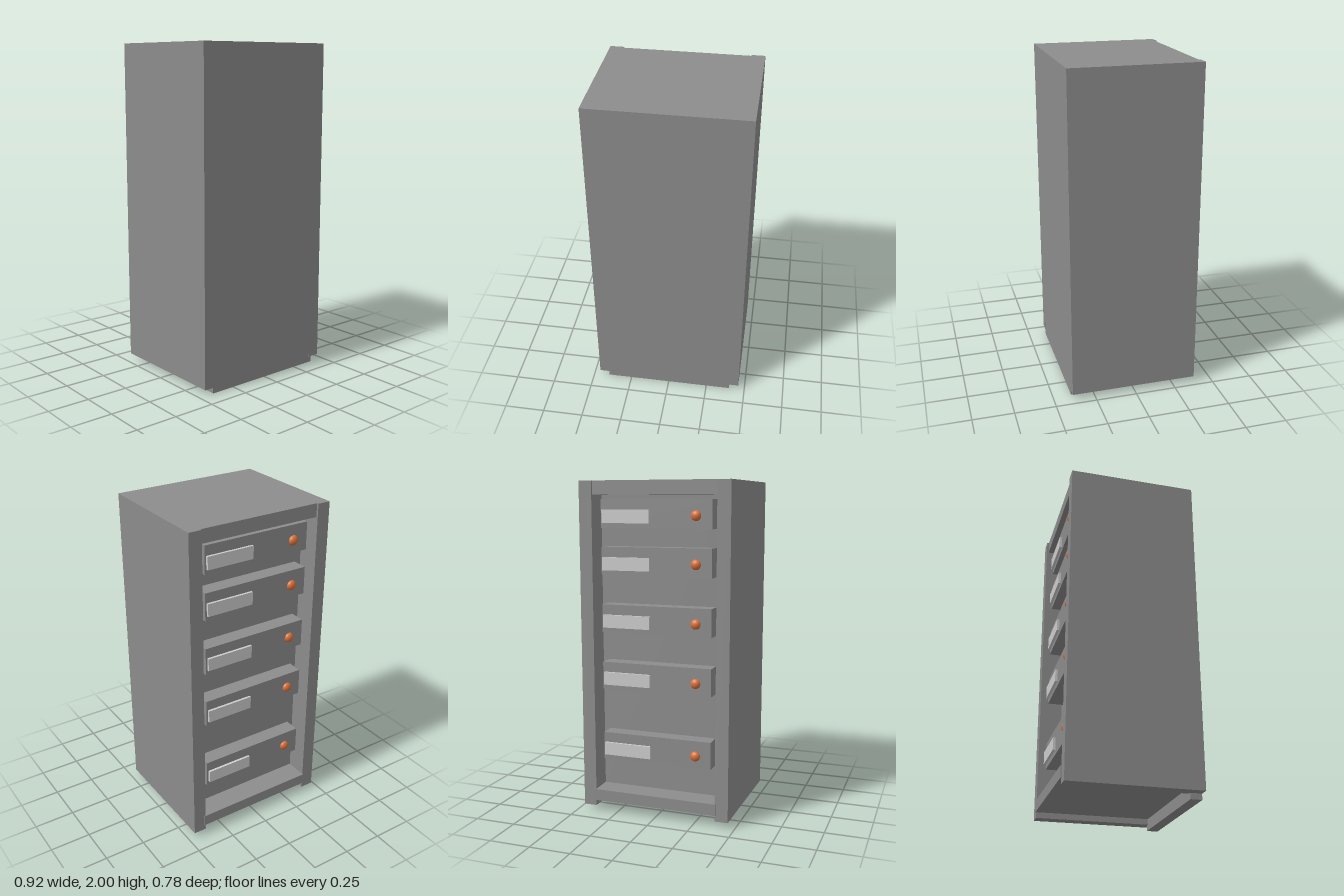
import * as THREE from 'three';

const grey = new THREE.MeshStandardMaterial({ color: 0x8c8c8c });
const pale = new THREE.MeshStandardMaterial({ color: 0xcccccc });
const orange = new THREE.MeshStandardMaterial({ color: 0xd9703a });

// Box given by its lower and upper corner
function block(name, [x0, y0, z0], [x1, y1, z1], material = grey) {
  const mesh = new THREE.Mesh(new THREE.BoxGeometry(x1 - x0, y1 - y0, z1 - z0), material);
  mesh.position.set((x0 + x1) / 2, (y0 + y1) / 2, (z0 + z1) / 2);
  mesh.name = name;
  return mesh;
}

// Rack unit with a pale plate and a flattened round knob, its underside at y = 0
function createUnit() {
  const unit = new THREE.Group();
  unit.name = 'rackUnit';
  unit.add(block('unitCase', [-0.34, 0, -0.346], [0.34, 0.167, -0.25]));
  unit.add(block('unitPlate', [0.035, 0.03, -0.361], [0.33, 0.107, -0.346], pale));
  const knob = new THREE.Mesh(new THREE.SphereGeometry(0.03, 20, 14), orange);
  knob.name = 'unitKnob';
  knob.scale.z = 0.75;
  knob.position.set(-0.245, 0.075, -0.346);
  unit.add(knob);
  return unit;
}

export function createModel() {
  const rack = new THREE.Group();
  rack.name = 'rackCabinet';

  // Side walls
  rack.add(block('leftWall', [0.38, 0.035, -0.387], [0.46, 2, 0.389]));
  rack.add(block('rightWall', [-0.46, 0.035, -0.387], [-0.38, 2, 0.389]));

  // Top, floor, front plinth and the body behind the units
  rack.add(block('topSlab', [-0.38, 1.92, -0.375], [0.38, 2, 0.389]));
  rack.add(block('floorSlab', [-0.385, 0.07, -0.392], [0.392, 0.14, 0.388]));
  rack.add(block('frontPlinth', [-0.4, 0, 0.32], [0.4, 0.07, 0.388]));
  rack.add(block('innerBody', [-0.38, 0.14, -0.25], [0.38, 1.92, 0.389]));

  // Stack of units in the open side
  for (const y of [0.329, 0.766, 1.113, 1.453, 1.727]) {
    const unit = createUnit();
    unit.position.y = y;
    rack.add(unit);
  }
  return rack;
}
